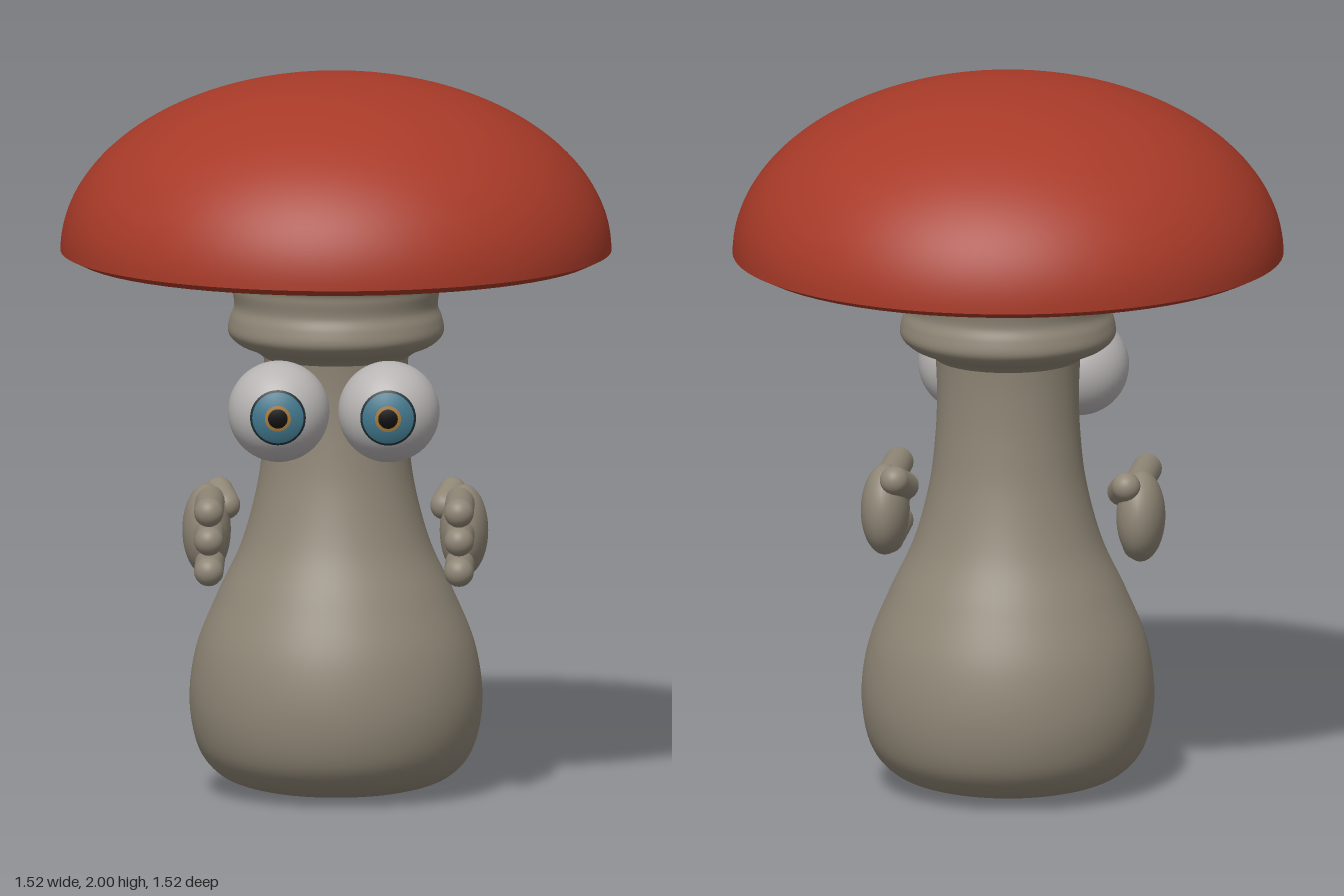
import * as THREE from 'three';

const mat = (color) => new THREE.MeshStandardMaterial({ color });
const STEM = mat(0x8f8676), CAP = mat(0xa83a28), GILLS = mat(0x58443e), WHITE = mat(0xb8b4b4);

function add(parent, name, geometry, material, pos = [0, 0, 0]) {
  const mesh = new THREE.Mesh(geometry, material);
  mesh.name = name;
  mesh.position.set(...pos);
  parent.add(mesh);
  return mesh;
}

// Smooth lathe through a few [radius, height] points, listed bottom to top
function lathe(points, steps) {
  const curve = new THREE.SplineCurve(points.map(([r, y]) => new THREE.Vector2(r, y)));
  const profile = curve.getPoints(steps).map((p) => p.set(Math.max(p.x, 0), p.y));
  return new THREE.LatheGeometry(profile, 64);
}

// Round-ended rod between two points
function rod(parent, name, a, b, radius) {
  const from = new THREE.Vector3(...a), to = new THREE.Vector3(...b);
  const dir = to.clone().sub(from);
  const mesh = add(parent, name, new THREE.CapsuleGeometry(radius, dir.length(), 10, 20), STEM);
  mesh.position.copy(from).add(to).multiplyScalar(0.5);
  mesh.quaternion.setFromUnitVectors(new THREE.Vector3(0, 1, 0), dir.normalize());
}

function makeEye(side) {
  const eye = new THREE.Group();
  eye.name = side > 0 ? 'leftEye' : 'rightEye';
  eye.position.set(0.152 * side, 1.117, 0.36);
  add(eye, 'eyeball', new THREE.SphereGeometry(0.14, 40, 28), WHITE);
  // Concentric shells facing forward, each a little further out
  const rings = [['irisEdge', 0.077, 0x1c2c33], ['iris', 0.071, 0x41778c],
    ['innerIris', 0.036, 0xa87838], ['pupil', 0.027, 0x0a0a0a]];
  rings.forEach(([name, r, color], i) => {
    const R = 0.141 + i * 0.0008;
    const shell = new THREE.SphereGeometry(R, 40, 8, 0, Math.PI * 2, 0, Math.asin(r / R));
    add(eye, name, shell.rotateX(Math.PI / 2), mat(color));
  });
  return eye;
}

function makeHand(side) {
  const hand = new THREE.Group();
  hand.name = side > 0 ? 'leftHand' : 'rightHand';
  const palm = add(hand, 'palm', new THREE.SphereGeometry(1, 32, 24), STEM, [0.355 * side, 0.75, 0.117]);
  palm.scale.set(0.067, 0.127, 0.104);
  for (const y of [0.832, 0.752, 0.667]) {
    rod(hand, 'finger', [0.345 * side, y, 0.12], [0.345 * side, y, 0.343], 0.041);
  }
  rod(hand, 'thumb', [0.322 * side, 0.847, 0.05], [0.302 * side, 0.818, 0.115], 0.04);
  return hand;
}

export function createModel() {
  const model = new THREE.Group();
  model.name = 'mushroom';

  // Bulbous stem narrowing to a neck
  add(model, 'stem', lathe([[0, 0.004], [0.12, 0.008], [0.23, 0.02], [0.32, 0.055], [0.38, 0.13],
    [0.404, 0.26], [0.385, 0.41], [0.325, 0.56], [0.26, 0.70], [0.217, 0.86], [0.2, 1.0],
    [0.196, 1.12], [0.2, 1.22], [0.21, 1.3]], 90), STEM);

  // Swollen collar flaring into the underside of the cap
  add(model, 'collar', lathe([[0.19, 1.21], [0.225, 1.235], [0.27, 1.255], [0.297, 1.285], [0.293, 1.325],
    [0.281, 1.36], [0.286, 1.40], [0.291, 1.43], [0.32, 1.468], [0.375, 1.49], [0.45, 1.499]], 60), STEM);

  // Cap: flat underside, bevelled rim, domed top
  add(model, 'capUnderside', lathe([[0.42, 1.497], [0.56, 1.499], [0.72, 1.494]], 12), GILLS);
  add(model, 'capRim', lathe([[0.72, 1.494], [0.76, 1.513]], 2), CAP);
  const dome = [];
  for (let i = 0; i <= 40; i++) {
    const t = (i / 40) * Math.PI / 2;
    dome.push(new THREE.Vector2(0.76 * Math.cos(t), 1.513 + 0.487 * Math.sin(t)));
  }
  add(model, 'capTop', new THREE.LatheGeometry(dome, 96), CAP);

  for (const side of [1, -1]) model.add(makeEye(side), makeHand(side));
  return model;
}
